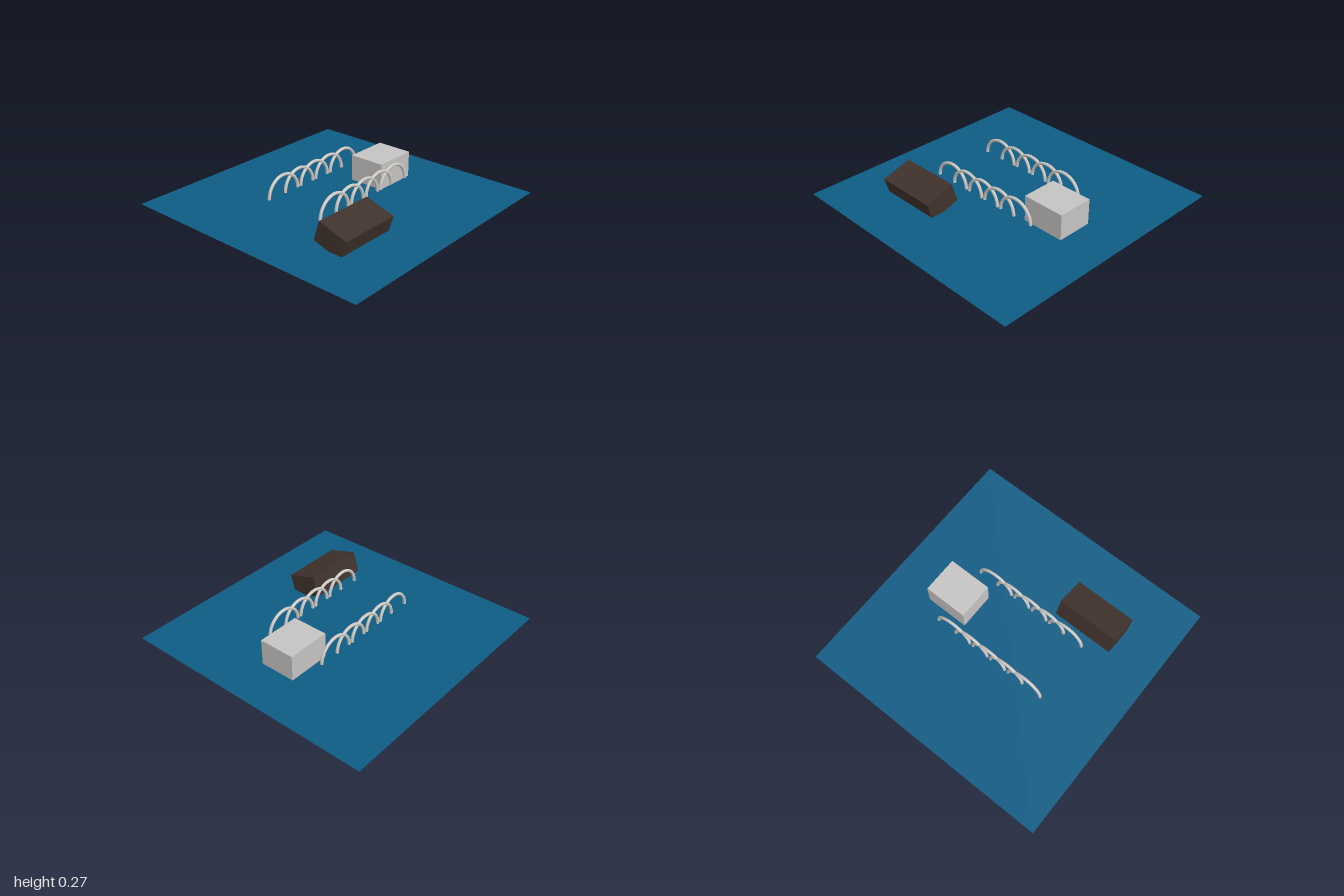
import * as THREE from 'three';

const seaBlue = new THREE.MeshStandardMaterial({ name: 'seaBlue', color: 0x0e5c84, side: THREE.DoubleSide });
const stoneGrey = new THREE.MeshStandardMaterial({ name: 'stoneGrey', color: 0xc6c4c2 });
const paleGrey = new THREE.MeshStandardMaterial({ name: 'paleGrey', color: 0xcecbc7, side: THREE.DoubleSide });
const darkBrown = new THREE.MeshStandardMaterial({ name: 'darkBrown', color: 0x40322c });

const GROUND = 0.032;

function addMesh(parent, name, geometry, material, x, y, z) {
  const mesh = new THREE.Mesh(geometry, material);
  mesh.name = name;
  mesh.position.set(x, y, z);
  parent.add(mesh);
  return mesh;
}

export function createModel() {
  const model = new THREE.Group();
  model.name = 'model';

  // Flat square water sheet
  const water = new THREE.PlaneGeometry(2, 2).rotateX(-Math.PI / 2);
  addMesh(model, 'water', water, seaBlue, 0, GROUND, 0);

  // Grey block at the back, just clear of the sheet
  addMesh(model, 'stoneBlock', new THREE.BoxGeometry(0.28, 0.2, 0.336), stoneGrey, 0, GROUND + 0.101, -0.48);

  // Tilted dark block whose lower edge sinks through the sheet
  const hull = addMesh(model, 'tiltedBlock', new THREE.BoxGeometry(0.24, 0.16, 0.48), darkBrown, 0.48, GROUND + 0.08, 0.4);
  hull.rotation.z = -0.3;

  // Two rows of five overlapping half-ring arches
  const arch = new THREE.TorusGeometry(0.144, 0.012, 8, 24, Math.PI).rotateY(Math.PI / 2);
  for (const side of [-1, 1]) {
    const row = new THREE.Group();
    row.name = side > 0 ? 'leftArcade' : 'rightArcade';
    for (let i = -2; i <= 2; i++) {
      addMesh(row, 'arch', arch, paleGrey, side * 0.24, GROUND + 0.08, i * 0.16);
    }
    model.add(row);
  }
  return model;
}
